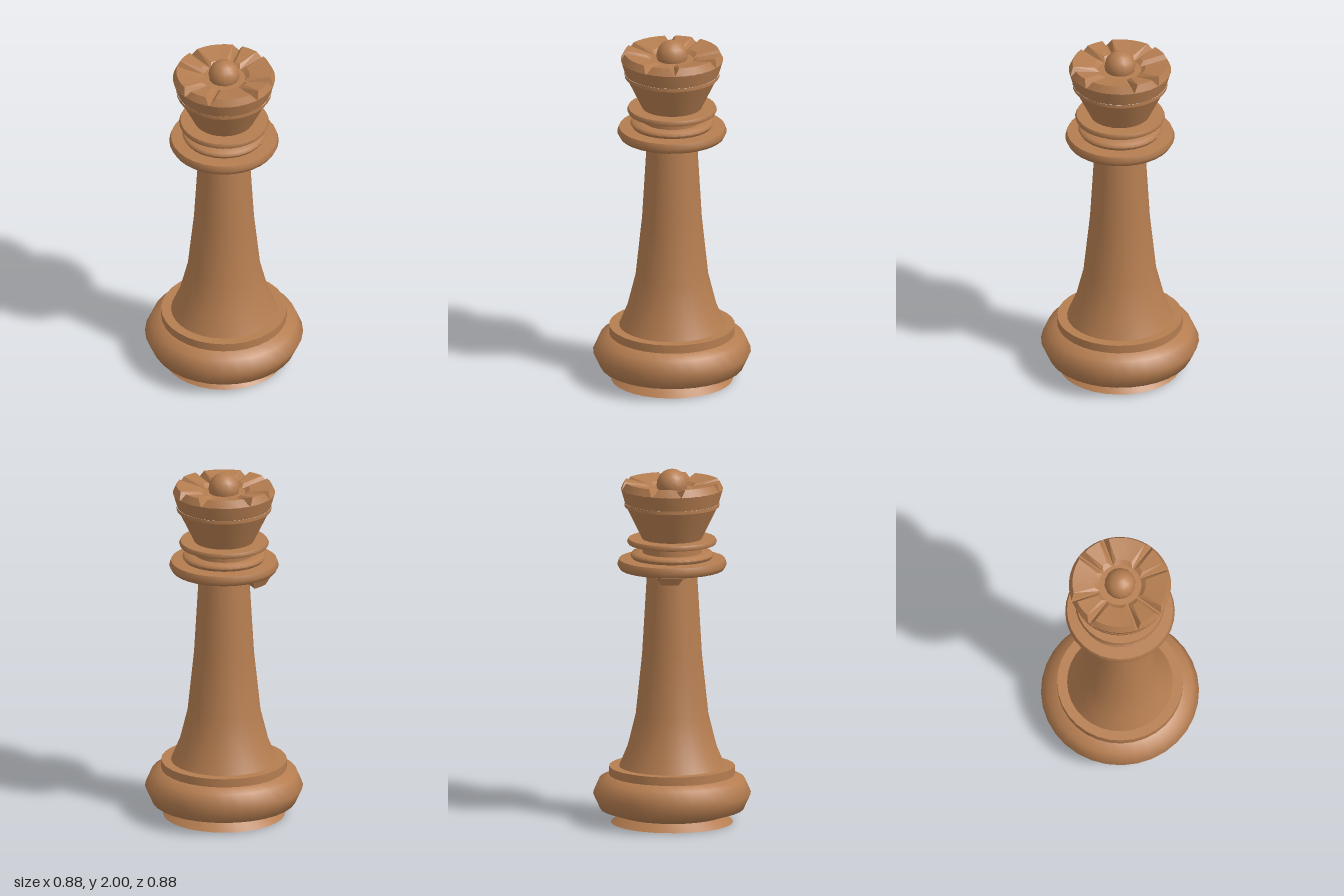
import * as THREE from 'three';
import { toCreasedNormals } from 'three/addons/utils/BufferGeometryUtils.js';

const rad = THREE.MathUtils.degToRad;

// Turned part from [radius, height] points, listed bottom to top
function turned(name, points, material, crease = 0.6) {
  const profile = points.map(([r, y]) => new THREE.Vector2(r, y));
  const geometry = toCreasedNormals(new THREE.LatheGeometry(profile, 32), crease);
  const mesh = new THREE.Mesh(geometry, material);
  mesh.name = name;
  return mesh;
}

// Crown tooth: a bevelled ring sector centred on angle 0, trimmed by V-shaped notches
function toothGeometry(halfAngle, steps) {
  const section = [ // radius, height, half width of the notch
    [0.118, 0, 0.004], [0.143, 0.02, 0.026], [0.265, 0.042, 0.028], [0.285, 0, 0.004],
  ];
  const positions = [];
  const index = [];
  const quad = (a, b, c, d) => index.push(a, b, c, a, c, d);
  for (let s = 0; s <= steps; s++) {
    for (const [r, y, gap] of section) {
      const a = (halfAngle - Math.asin(gap / r)) * (2 * s / steps - 1);
      positions.push(r * Math.cos(a), y, -r * Math.sin(a));
    }
  }
  for (let s = 0; s < steps; s++) {
    for (let k = 0; k < 4; k++) {
      const i = s * 4;
      const n = (k + 1) % 4;
      quad(i + k, i + n, i + 4 + n, i + 4 + k);
    }
  }
  const e = steps * 4;
  quad(0, 3, 2, 1);
  quad(e, e + 1, e + 2, e + 3);
  const geometry = new THREE.BufferGeometry();
  geometry.setAttribute('position', new THREE.Float32BufferAttribute(positions, 3));
  geometry.setIndex(index);
  return toCreasedNormals(geometry, 0.4);
}

export function createModel() {
  const model = new THREE.Group();
  model.name = 'chessQueen';
  const wood = new THREE.MeshStandardMaterial({ color: 0xb57d50 });
  wood.name = 'warm wood';

  // Base
  model.add(
    turned('foot', [[0, 0], [0.34, 0], [0.29, 0.045]], wood),
    turned('baseBulge', [[0.29, 0.042], [0.40, 0.078], [0.44, 0.165], [0.405, 0.245], [0.35, 0.27]], wood, 1.1),
    turned('baseStep', [[0.35, 0.265], [0.35, 0.318], [0.28, 0.318]], wood),
  );

  // Stem and collars
  model.add(
    turned('stem', [[0.295, 0.317], [0.248, 0.43], [0.203, 0.61], [0.167, 0.95], [0.138, 1.44]], wood),
    turned('lowerCollar', [[0.13, 1.435], [0.29, 1.435], [0.305, 1.463], [0.295, 1.492], [0.16, 1.497]], wood, 1.1),
    turned('middleCollar', [[0.16, 1.497], [0.222, 1.497], [0.232, 1.514], [0.222, 1.53], [0.16, 1.53]], wood, 1.1),
    turned('neck', [[0.165, 1.52], [0.165, 1.585]], wood),
    turned('upperCollar', [[0.16, 1.578], [0.243, 1.578], [0.25, 1.593], [0.243, 1.608], [0.16, 1.608]], wood, 1.1),
  );

  // Flared head with a narrow band and a lip
  model.add(
    turned('head', [[0.165, 1.605], [0.255, 1.79]], wood),
    turned('headBand', [[0.25, 1.79], [0.264, 1.79], [0.264, 1.81]], wood),
    turned('headLip', [[0.262, 1.81], [0.285, 1.89], [0, 1.89]], wood),
  );

  // Crown: four narrow and four wide teeth in turn
  const narrow = toothGeometry(rad(16.5), 3);
  const wide = toothGeometry(rad(28.5), 5);
  for (let i = 0; i < 4; i++) {
    for (const [geometry, angle] of [[narrow, 12.5], [wide, 57.5]]) {
      const tooth = new THREE.Mesh(geometry, wood);
      tooth.name = 'crownTooth';
      tooth.position.y = 1.889;
      tooth.rotation.y = rad(angle + 90 * i);
      model.add(tooth);
    }
  }

  // Small bracket under the lower collar at the back
  const bracket = new THREE.Mesh(narrow, wood);
  bracket.name = 'collarBracket';
  bracket.position.y = 1.432;
  bracket.rotation.set(Math.PI, rad(106), 0, 'YXZ');
  model.add(bracket);

  // Ball on top
  const ball = new THREE.Mesh(new THREE.SphereGeometry(0.087, 14, 10), wood);
  ball.name = 'topBall';
  ball.position.y = 1.913;
  model.add(ball);

  return model;
}
